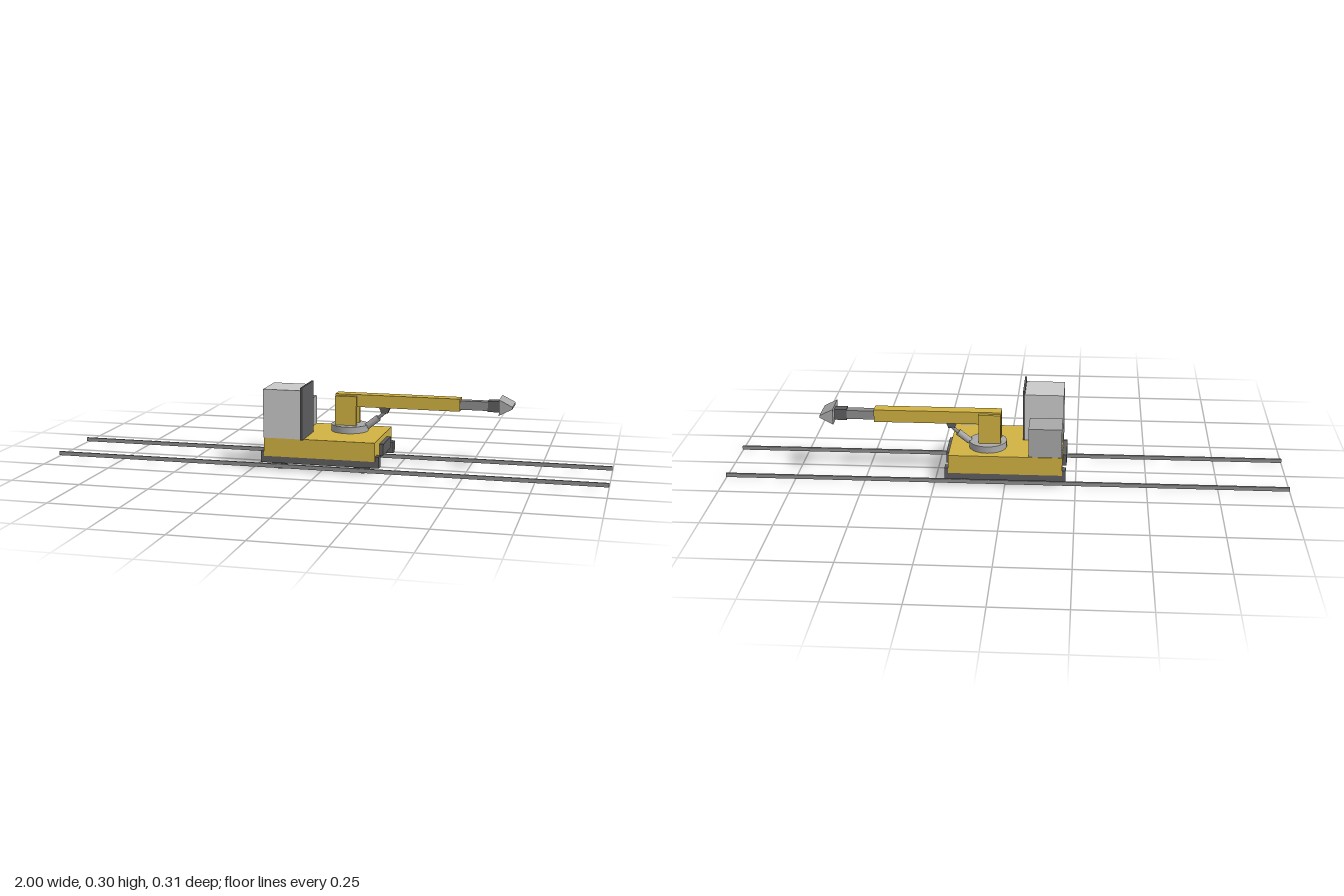
import * as THREE from 'three';

const mat = (name, color) => Object.assign(new THREE.MeshStandardMaterial({ color }), { name });

export function createModel() {
  const model = new THREE.Group();
  model.name = 'railCrane';

  const yellow = mat('yellowPaint', 0xd1b242);
  const dark = mat('darkSteel', 0x5e5e60);
  const steel = mat('midSteel', 0x8e8e90);
  const grey = mat('greyPaint', 0xa9a9a9);
  const light = mat('lightGreyPaint', 0xcacaca);

  const add = (name, geometry, material) => {
    const mesh = new THREE.Mesh(geometry, material);
    mesh.name = name;
    model.add(mesh);
    return mesh;
  };
  // Box given by its limits on each axis
  const box = (name, material, x0, x1, y0, y1, z0, z1) => {
    const mesh = add(name, new THREE.BoxGeometry(x1 - x0, y1 - y0, z1 - z0), material);
    mesh.position.set((x0 + x1) / 2, (y0 + y1) / 2, (z0 + z1) / 2);
    return mesh;
  };
  // Cylinder between two points
  const rod = (name, material, a, b, radius, sides = 24) => {
    const dir = b.clone().sub(a);
    const mesh = add(name, new THREE.CylinderGeometry(radius, radius, dir.length(), sides), material);
    mesh.position.copy(a).add(b).multiplyScalar(0.5);
    mesh.quaternion.setFromUnitVectors(new THREE.Vector3(0, 1, 0), dir.normalize());
    return mesh;
  };
  // Profile in x and y, extruded symmetrically about z
  const prism = (name, material, points, z, width) => {
    const shape = new THREE.Shape(points.map(p => new THREE.Vector2(...p)));
    const geometry = new THREE.ExtrudeGeometry(shape, { depth: width, bevelEnabled: false });
    const mesh = add(name, geometry, material);
    mesh.position.z = z - width / 2;
    return mesh;
  };
  const v = (x, y, z) => new THREE.Vector3(x, y, z);

  // Rails, wheel beams and flanged wheels
  for (const [side, z, beamZ] of [['left', 0.115, 0.116], ['right', -0.134, -0.135]]) {
    box(side + 'Rail', steel, -1, 1, 0.004, 0.018, z - 0.004, z + 0.004);
    box(side + 'WheelBeam', dark, -0.215, 0.212, 0.026, 0.067, beamZ - 0.0165, beamZ + 0.0165);
    const inner = z > 0 ? -1 : 1;
    for (const x of [-0.152, 0.148]) {
      rod(side + 'Wheel', dark, v(x, 0.031, z - 0.005), v(x, 0.031, z + 0.005), 0.014);
      rod(side + 'WheelFlange', dark, v(x, 0.031, z + inner * 0.0045), v(x, 0.031, z + inner * 0.0065), 0.031);
    }
  }

  // Chassis and end bumpers
  box('chassis', yellow, -0.203, 0.198, 0.05, 0.117, -0.155, 0.137);
  box('rearBumper', dark, -0.217, -0.203, 0.056, 0.097, -0.077, 0.057);
  box('frontBumper', dark, 0.198, 0.212, 0.056, 0.097, -0.077, 0.057);

  // Cabinets and shield
  box('cabinet', light, -0.203, -0.064, 0.117, 0.291, 0, 0.141);
  box('shieldPanel', dark, -0.064, -0.057, 0.117, 0.304, 0, 0.157);
  box('powerUnit', grey, -0.201, -0.084, 0.117, 0.222, -0.152, -0.044);

  // Turntable, mast plates and boom
  const az = -0.06;
  rod('turntable', grey, v(0.064, 0.117, az), v(0.064, 0.141, az), 0.067, 32);
  for (const s of [-1, 1]) {
    const z = az + s * 0.0285;
    box('mastPlate', yellow, 0.017, 0.095, 0.141, 0.247, z - 0.0065, z + 0.0065);
  }
  box('boom', yellow, 0.015, 0.467, 0.208, 0.253, az - 0.022, az + 0.022);
  box('boomExtension', steel, 0.467, 0.567, 0.214, 0.246, az - 0.015, az + 0.015);
  box('toolMount', dark, 0.565, 0.609, 0.211, 0.25, az - 0.018, az + 0.018);

  // Blunt wedge tool
  prism('wedgeTool', grey,
    [[0.608, 0.205], [0.655, 0.23], [0.655, 0.238], [0.608, 0.262]], az, 0.1);

  // Lifting cylinder with its bracket
  rod('liftBarrel', grey, v(0.128, 0.135, az), v(0.17, 0.168, az), 0.012);
  rod('liftRod', steel, v(0.17, 0.168, az), v(0.195, 0.19, az), 0.006);
  prism('liftBracket', dark,
    [[0.172, 0.209], [0.182, 0.186], [0.204, 0.186], [0.214, 0.209]], az, 0.02);

  return model;
}
